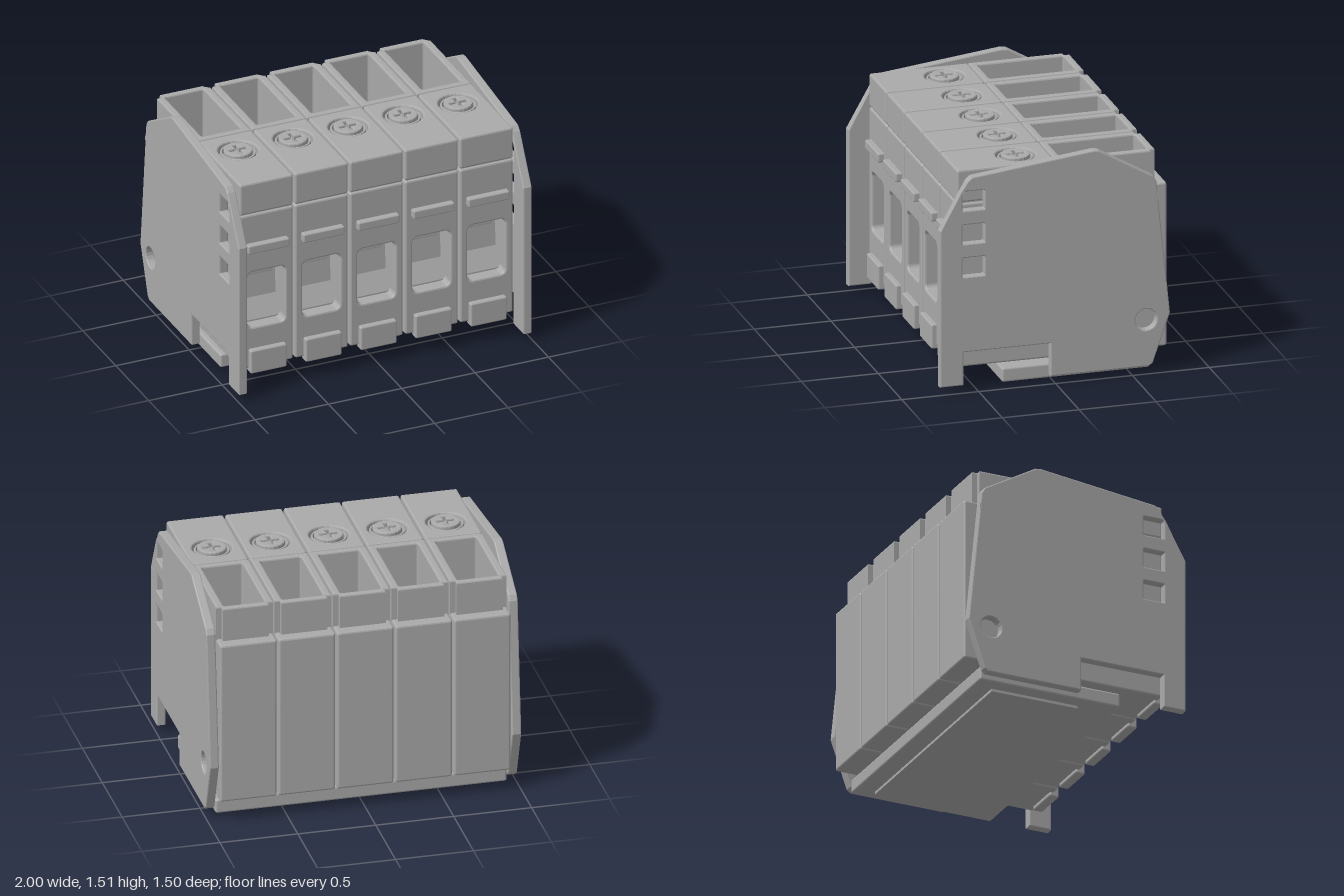
import * as THREE from 'three';
import { RoundedBoxGeometry } from 'three/addons/geometries/RoundedBoxGeometry.js';

const grey = new THREE.MeshStandardMaterial({ color: 0xaaaaaa });
grey.name = 'grey plastic';

function add(group, name, geometry) {
  const mesh = new THREE.Mesh(geometry, grey);
  mesh.name = name;
  group.add(mesh);
  return mesh;
}

// rounded box given by its limits
function block(group, name, x0, x1, y0, y1, z0, z1, r = 0.015) {
  const g = new RoundedBoxGeometry(x1 - x0, y1 - y0, z1 - z0, 2, r);
  g.translate((x0 + x1) / 2, (y0 + y1) / 2, (z0 + z1) / 2);
  return add(group, name, g);
}

// rectangle with rounded corners
function rect(x0, x1, y0, y1, r, Kind = THREE.Shape) {
  const s = new Kind();
  s.absarc(x1 - r, y1 - r, r, 0, Math.PI / 2);
  s.absarc(x0 + r, y1 - r, r, Math.PI / 2, Math.PI);
  s.absarc(x0 + r, y0 + r, r, Math.PI, Math.PI * 1.5);
  s.absarc(x1 - r, y0 + r, r, Math.PI * 1.5, Math.PI * 2);
  s.closePath();
  return s;
}

function circle(x, y, r) {
  return new THREE.Path().absarc(x, y, r, 0, Math.PI * 2, true);
}

// bevelled extrusion filling z0..z1
function prism(shape, z0, z1, bevel = 0.012) {
  const g = new THREE.ExtrudeGeometry(shape, {
    depth: z1 - z0 - 2 * bevel, bevelEnabled: bevel > 0, bevelThickness: bevel,
    bevelSize: bevel, bevelOffset: -bevel, bevelSegments: 2, curveSegments: 10,
  });
  return g.translate(0, 0, z0 + bevel);
}

// same, standing upright; shape y is -z
const upright = (shape, y0, y1, bevel) => prism(shape, y0, y1, bevel).rotateX(-Math.PI / 2);

function screw() {
  const g = new THREE.Group();
  g.name = 'screw';
  const head = new THREE.Shape().absarc(0, 0, 0.092, 0, Math.PI * 2);
  const a = 0.012, b = 0.058;
  head.holes.push(new THREE.Path([
    [a, a], [a, b], [-a, b], [-a, a], [-b, a], [-b, -a],
    [-a, -b + b - a], [-a, -b], [a, -b], [a, -a], [b, -a], [b, a],
  ].map(([x, y]) => new THREE.Vector2(x, y))));
  add(g, 'screwHead', upright(head, 1.405, 1.458, 0.008));
  add(g, 'screwCore', new THREE.CylinderGeometry(0.085, 0.085, 0.06, 32)).position.y = 1.395;
  const collar = new THREE.Shape().absarc(0, 0, 0.113, 0, Math.PI * 2);
  collar.holes.push(circle(0, 0, 0.1));
  add(g, 'screwCollar', upright(collar, 1.36, 1.44, 0.003));
  add(g, 'screwSeat', new THREE.CylinderGeometry(0.128, 0.128, 0.03, 32)).position.y = 1.385;
  g.position.z = 0.185;
  return g;
}

function terminal() {
  const g = new THREE.Group();
  g.name = 'terminal';
  const w = 0.182;

  // front wall with the wire opening
  const front = rect(-w, w, 0.148, 1.228, 0.015);
  front.holes.push(rect(-0.128, 0.128, 0.43, 0.82, 0.035, THREE.Path));
  add(g, 'frontWall', prism(front, 0.42, 0.62));

  // tilted back of the opening, with the clamp tab
  const ramp = new THREE.Shape([[0.44, 0.4], [0.54, 0.4], [0.54, 0.44], [0.47, 0.56], [0.45, 0.84], [0.44, 0.84]]
    .map(([z, y]) => new THREE.Vector2(z, y)));
  const rampGeo = new THREE.ExtrudeGeometry(ramp, { depth: 0.27, bevelEnabled: false });
  add(g, 'openingBack', rampGeo.rotateY(-Math.PI / 2).translate(0.135, 0, 0));
  block(g, 'clampTab', -0.088, 0.088, 0.735, 0.79, 0.44, 0.5, 0.005);

  // lower body with the well sunk from above
  block(g, 'body', -w, w, 0.148, 0.8, -0.745, 0.45);
  const well = () => rect(-0.132, 0.132, 0.07, 0.63, 0.012, THREE.Path);
  const upper = rect(-w, w, -0.45, 0.745, 0.015);
  upper.holes.push(well());
  add(g, 'bodyTop', upright(upper, 0.76, 1.228));

  // hopper above the well, with a narrower back lip
  const hopper = new THREE.Shape([
    [-w, 0.025], [w, 0.025], [w, 0.64], [0.148, 0.64], [0.148, 0.675],
    [-0.148, 0.675], [-0.148, 0.64], [-w, 0.64],
  ].map(([x, y]) => new THREE.Vector2(x, y)));
  hopper.holes.push(well());
  add(g, 'hopper', upright(hopper, 1.2, 1.45, 0.01));

  // screw block
  const cap = rect(-w, w, -0.62, 0.02, 0.015);
  cap.holes.push(circle(0, -0.185, 0.125));
  add(g, 'screwBlock', upright(cap, 1.235, 1.45));
  block(g, 'seam', -0.17, 0.17, 1.2, 1.26, 0.0, 0.605, 0.005);
  g.add(screw());

  // front rib and foot clip
  block(g, 'frontRib', -0.14, 0.14, 0.97, 1.03, 0.6, 0.66, 0.01);
  block(g, 'footClip', -0.124, 0.124, 0.122, 0.285, 0.59, 0.655, 0.012);
  return g;
}

function endPlate(side) {
  const s = new THREE.Shape([
    [0.75, 0.05], [0.75, 1.08], [0.575, 1.39], [0.545, 1.42], [-0.25, 1.513], [-0.285, 1.508],
    [-0.635, 1.305], [-0.657, 1.27], [-0.746, 0.39], [-0.635, 0.07], [-0.61, 0.05],
    [0.03, 0.05], [0.03, 0.268], [0.597, 0.268], [0.597, 0.05],
  ].map(([z, y]) => new THREE.Vector2(z, y)));
  for (const y of [0.36, 1.17]) s.holes.push(circle(-0.59, y, 0.07));
  for (const y of [0.765, 0.983, 1.203]) s.holes.push(rect(0.46, 0.603, y, y + 0.126, 0.006, THREE.Path));
  const g = prism(s, -0.03, 0.03, 0.008).rotateY(-Math.PI / 2);
  const mesh = new THREE.Mesh(g, grey);
  mesh.name = side > 0 ? 'leftEndPlate' : 'rightEndPlate';
  mesh.position.x = side * 0.97;
  return mesh;
}

export function createModel() {
  const model = new THREE.Group();
  model.name = 'terminalBlock';
  for (let i = -2; i <= 2; i++) {
    const t = terminal();
    t.position.x = i * 0.375;
    model.add(t);
  }
  for (const side of [-1, 1]) model.add(endPlate(side));
  block(model, 'base', -0.935, 0.935, 0.018, 0.113, -0.636, 0.328);
  add(model, 'basePad', new THREE.BoxGeometry(1.68, 0.03, 0.59)).position.set(0, 0.015, -0.217);
  return model;
}
